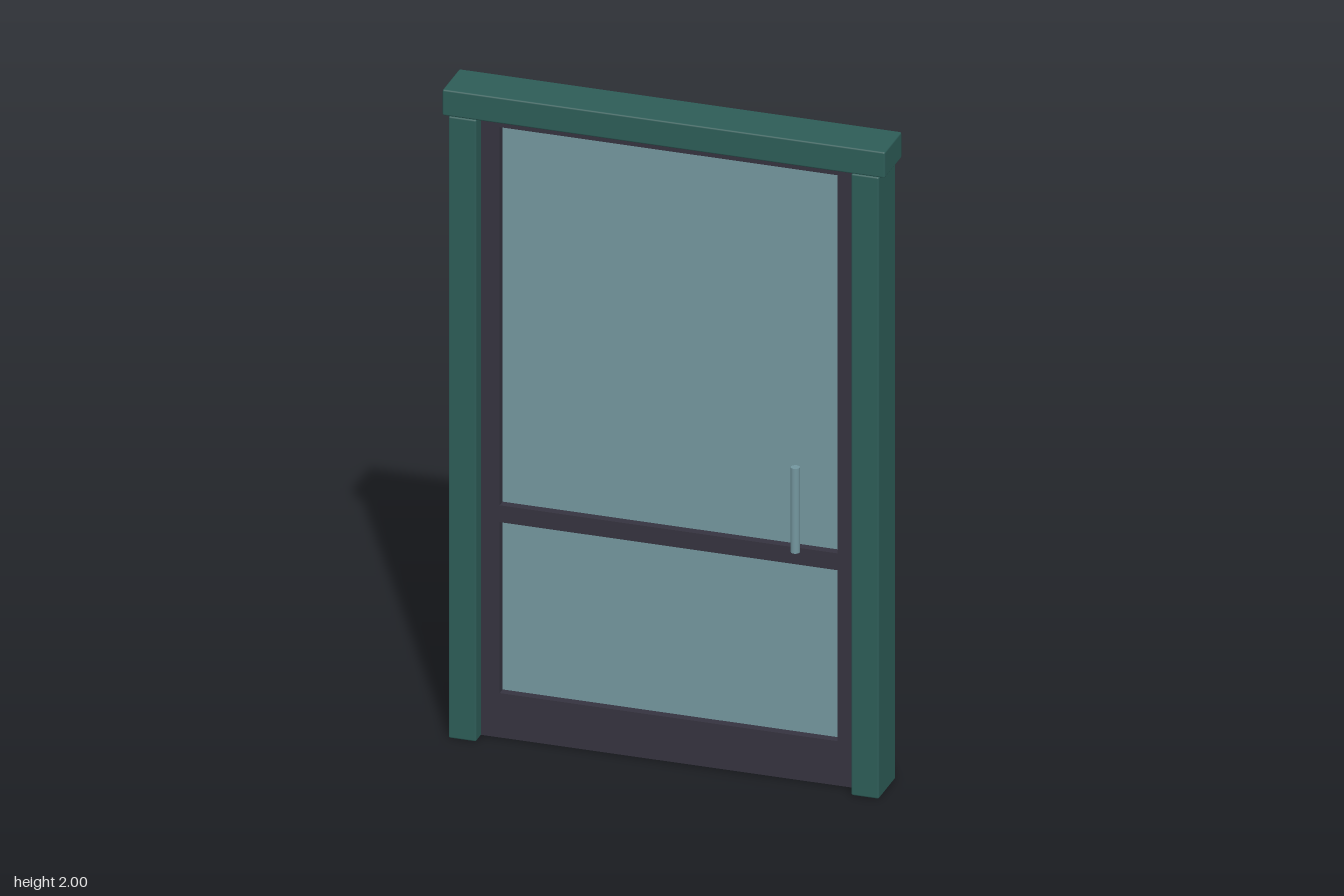
import * as THREE from 'three';
import { RoundedBoxGeometry } from 'three/addons/geometries/RoundedBoxGeometry.js';

const material = (name, color) => {
  const m = new THREE.MeshStandardMaterial({ color });
  m.name = name;
  return m;
};

export function createModel() {
  const green = material('green frame paint', 0x2d5c57);
  const dark = material('dark door paint', 0x35333f);
  const glass = material('blue grey glass', 0x73969e);

  const model = new THREE.Group();
  model.name = 'glazedDoor';

  // Box given by its extents on each axis, with an optional softened edge
  const box = (name, mat, [x0, x1], [y0, y1], [z0, z1], bevel = 0) => {
    const size = [x1 - x0, y1 - y0, z1 - z0];
    const geometry = bevel
      ? new RoundedBoxGeometry(...size, 2, bevel)
      : new THREE.BoxGeometry(...size);
    const mesh = new THREE.Mesh(geometry, mat);
    mesh.name = name;
    mesh.position.set((x0 + x1) / 2, (y0 + y1) / 2, (z0 + z1) / 2);
    model.add(mesh);
  };

  const frameZ = [-0.082, 0.066];
  const leafZ = [-0.038, 0.022];
  const glassZ = [-0.012, -0.004];

  // Outer frame: head and two jambs
  box('frameHead', green, [-0.655, 0.655], [1.92, 2], frameZ, 0.005);
  box('leftJamb', green, [0.555, 0.637], [0, 1.92], frameZ, 0.005);
  box('rightJamb', green, [-0.637, -0.555], [0, 1.92], frameZ, 0.005);

  // Door leaf: stiles and rails
  box('leftStile', dark, [0.5, 0.555], [0.003, 1.92], leafZ);
  box('rightStile', dark, [-0.555, -0.5], [0.003, 1.92], leafZ);
  box('topRail', dark, [-0.5, 0.5], [1.888, 1.92], leafZ);
  box('middleRail', dark, [-0.5, 0.5], [0.668, 0.72], leafZ);
  box('bottomRail', dark, [-0.5, 0.5], [0.003, 0.14], leafZ);

  // Glass panes
  box('upperPane', glass, [-0.5, 0.5], [0.72, 1.888], glassZ);
  box('lowerPane', glass, [-0.5, 0.5], [0.14, 0.668], glassZ);

  // Upright pull bar
  const handle = new THREE.Mesh(new THREE.CylinderGeometry(0.013, 0.013, 0.262, 16), glass);
  handle.name = 'pullHandle';
  handle.position.set(0.391, 0.86, 0.069);
  model.add(handle);

  return model;
}
